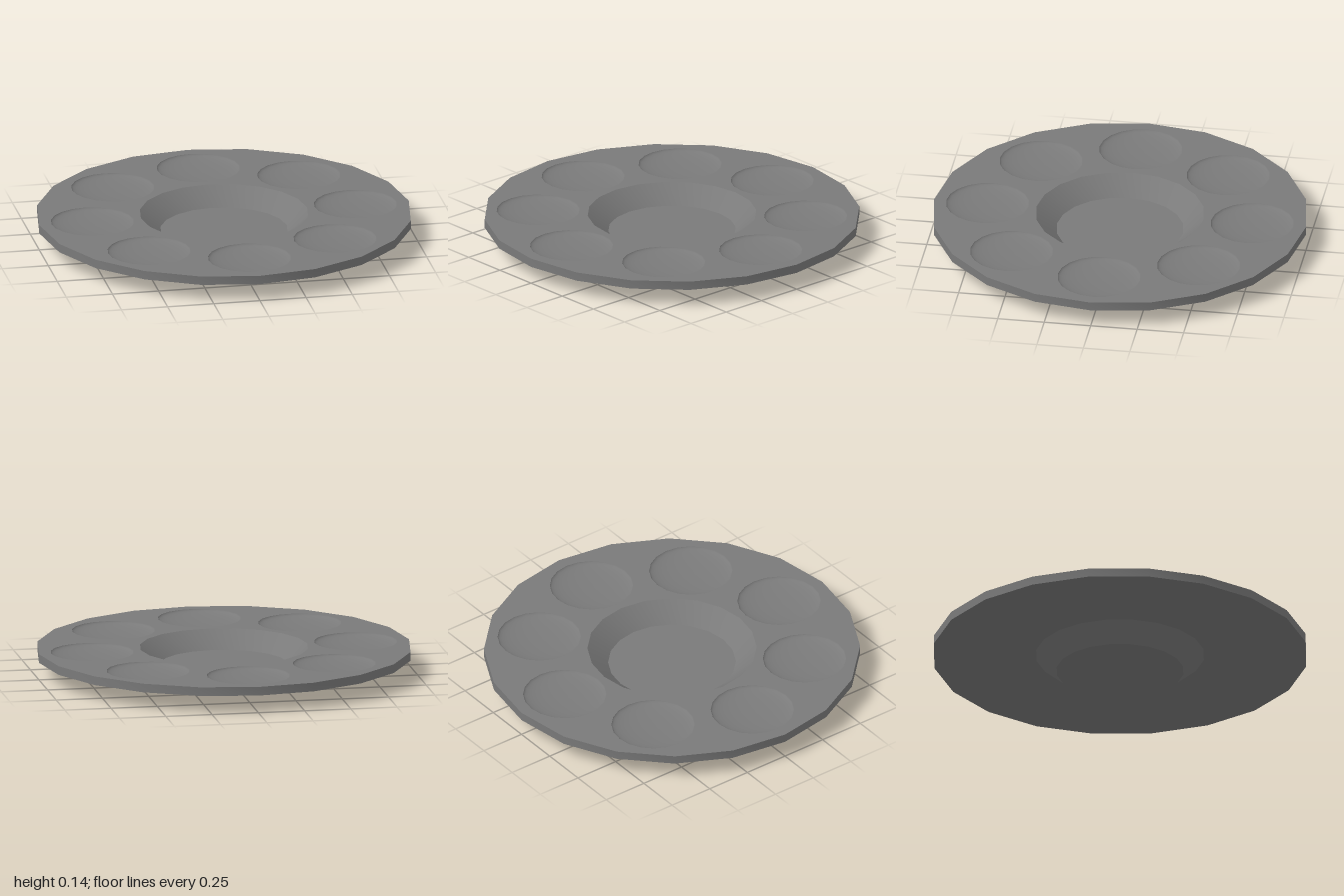
import * as THREE from 'three';
import { toCreasedNormals } from 'three/addons/utils/BufferGeometryUtils.js';

const SIDES = 20;
const TOP = 0.14, UNDER = 0.093;
const WELL_RIM = 0.45, WELL_FLOOR = 0.34;
const CUP_COUNT = 8, CUP_RING = 0.712, CUP_RADIUS = 0.222, CUP_DEPTH = 0.03;

const material = new THREE.MeshStandardMaterial({ color: 0x7a7a7a });

function mesh(name, geometry) {
  const m = new THREE.Mesh(geometry, material);
  m.name = name;
  return m;
}

// Regular polygon outline, used for the deck and its openings
function polygon(radius, cx = 0, cy = 0) {
  return Array.from({ length: SIDES }, (_, i) => {
    const a = (i / SIDES) * Math.PI * 2;
    return new THREE.Vector2(cx + radius * Math.cos(a), cy + radius * Math.sin(a));
  });
}

function lathe(profile) {
  return new THREE.LatheGeometry(profile.map(([r, y]) => new THREE.Vector2(r, y)), SIDES);
}

export function createModel() {
  const group = new THREE.Group();
  group.name = 'servingPlatter';

  // Foot, flat underside and outer edge
  group.add(mesh('underside', toCreasedNormals(lathe([
    [0, 0], [WELL_FLOOR, 0], [WELL_RIM, UNDER], [1, UNDER], [1, TOP],
  ]), 0.5)));

  // Sloped central well with a flat floor
  const floorY = TOP - UNDER;
  group.add(mesh('centreWell', toCreasedNormals(lathe([
    [WELL_RIM, TOP], [WELL_FLOOR, floorY], [0, floorY],
  ]), 0.5)));

  // Shallow rounded cup, shared by all eight places
  const steps = 10;
  const cupProfile = [];
  for (let i = 0; i <= steps; i++) {
    const t = (i / steps) * Math.PI / 2;
    cupProfile.push([i === steps ? 0 : CUP_RADIUS * Math.cos(t), TOP - CUP_DEPTH * Math.sin(t)]);
  }
  const cupGeometry = lathe(cupProfile);

  // Top deck, opened over the well and each cup
  const deck = new THREE.Shape(polygon(1));
  deck.holes.push(new THREE.Path(polygon(WELL_RIM)));
  for (let i = 0; i < CUP_COUNT; i++) {
    const a = (i / CUP_COUNT) * Math.PI * 2;
    const x = CUP_RING * Math.cos(a), z = CUP_RING * Math.sin(a);
    deck.holes.push(new THREE.Path(polygon(CUP_RADIUS, x, -z)));
    const cup = mesh('cup' + (i + 1), cupGeometry);
    cup.position.set(x, 0, z);
    group.add(cup);
  }
  const deckGeometry = new THREE.ShapeGeometry(deck).rotateX(-Math.PI / 2).translate(0, TOP, 0);
  group.add(mesh('topDeck', deckGeometry));

  return group;
}
